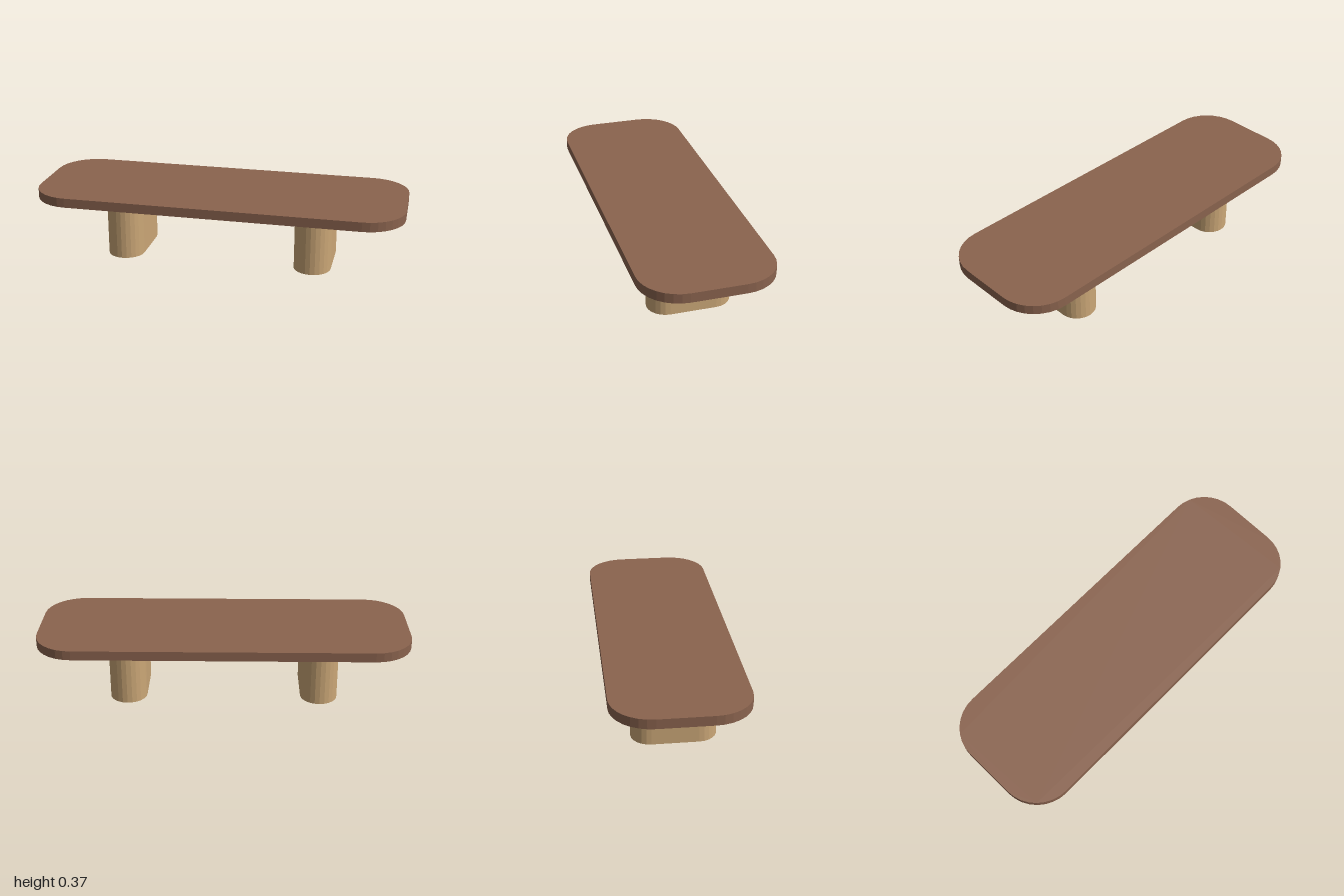
import * as THREE from 'three';

// Upright slab with a rounded-rectangle footprint, centred on x and z
function roundedSlab(width, depth, radius, height, segments) {
  const cx = width / 2 - radius, cz = depth / 2 - radius;
  const corners = [[cx, cz], [-cx, cz], [-cx, -cz], [cx, -cz]];
  const points = [];
  corners.forEach(([x, z], i) => {
    for (let s = 0; s <= segments; s++) {
      // full half-round ends share their middle point
      if (cx < 1e-6 && s === 0 && i % 2 === 1) continue;
      const a = (i + s / segments) * Math.PI / 2;
      points.push(new THREE.Vector2(x + radius * Math.cos(a), z + radius * Math.sin(a)));
    }
  });
  const geometry = new THREE.ExtrudeGeometry(new THREE.Shape(points), { depth: height, bevelEnabled: false });
  return geometry.rotateX(-Math.PI / 2);
}

export function createModel() {
  const group = new THREE.Group();
  group.name = 'lowTable';
  const brown = new THREE.MeshStandardMaterial({ name: 'brown wood', color: 0x8a634e });
  const tan = new THREE.MeshStandardMaterial({ name: 'tan wood', color: 0xcba777 });

  // Tabletop with rounded corners
  const top = new THREE.Mesh(roundedSlab(2, 0.7, 0.21, 0.051, 8), brown);
  top.name = 'tabletop';
  top.position.y = 0.32;
  group.add(top);

  // Two pill-shaped legs
  const legGeometry = roundedSlab(0.2, 0.444, 0.1, 0.32, 6);
  for (const [name, side] of [['leftLeg', 1], ['rightLeg', -1]]) {
    const leg = new THREE.Mesh(legGeometry, tan);
    leg.name = name;
    leg.position.x = side * 0.52;
    group.add(leg);
  }
  return group;
}
